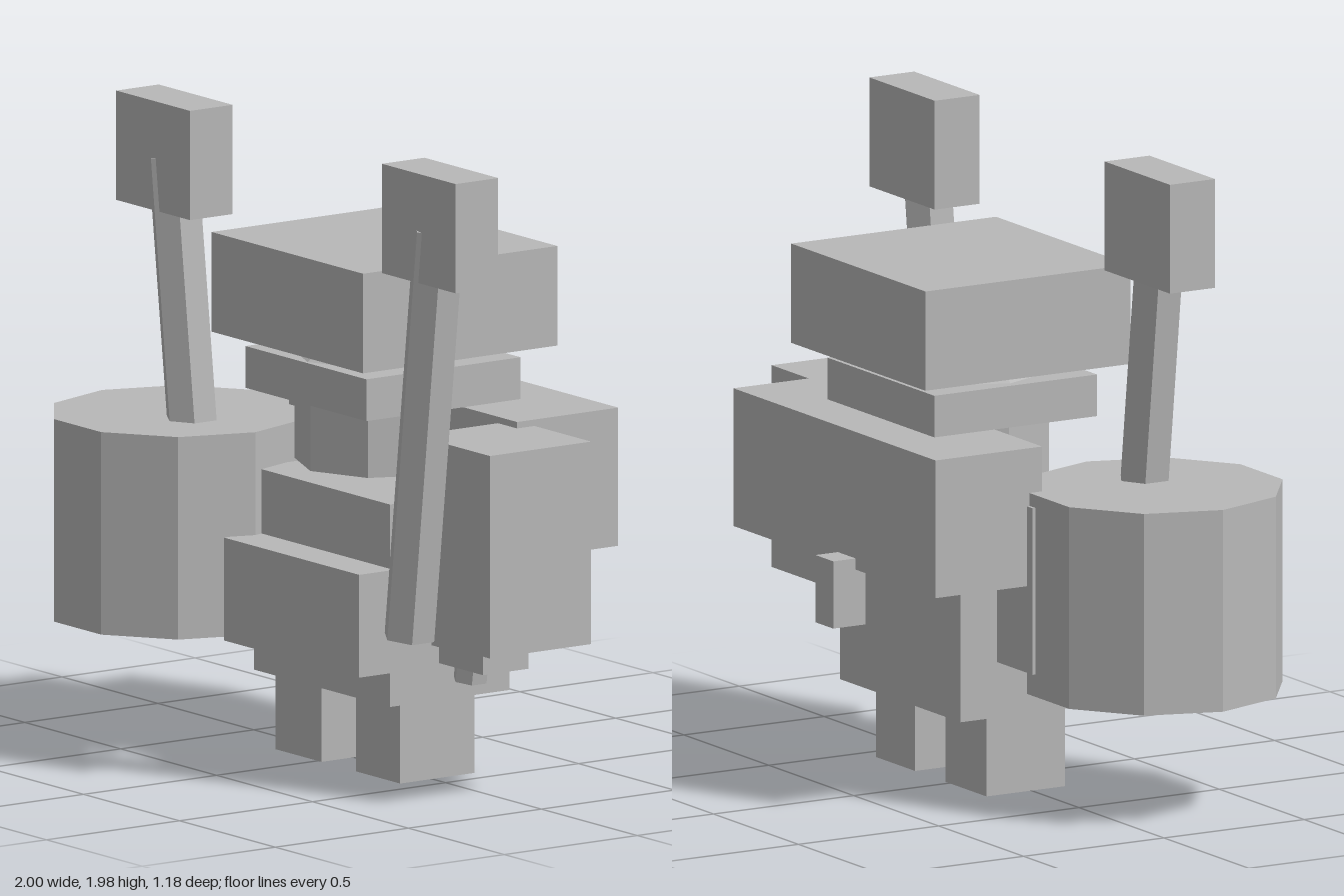
import * as THREE from 'three';

export function createModel() {
  const model = new THREE.Group();
  const grey = new THREE.MeshStandardMaterial({ color: 0xb8b8b8, flatShading: true });
  grey.name = 'grey';

  const add = (name, geometry) => {
    const mesh = new THREE.Mesh(geometry, grey);
    mesh.name = name;
    model.add(mesh);
    return mesh;
  };
  // Box given by its limits on each axis
  const box = (name, [x0, x1], [y0, y1], [z0, z1]) =>
    add(name, new THREE.BoxGeometry(x1 - x0, y1 - y0, z1 - z0))
      .position.set((x0 + x1) / 2, (y0 + y1) / 2, (z0 + z1) / 2);
  // Prism between two points
  const rod = (name, a, b, radius, sides, topRadius = radius) => {
    const from = new THREE.Vector3(...a), to = new THREE.Vector3(...b);
    const dir = to.clone().sub(from);
    const mesh = add(name, new THREE.CylinderGeometry(topRadius, radius, dir.length(), sides));
    mesh.position.copy(from).add(to).multiplyScalar(0.5);
    mesh.quaternion.setFromUnitVectors(new THREE.Vector3(0, 1, 0), dir.normalize());
    return mesh;
  };

  // Body
  box('rightLeg', [-0.22, 0.02], [0, 0.25], [-0.16, 0.12]);
  box('leftLeg', [0.2, 0.43], [0, 0.25], [-0.16, 0.12]);
  box('torso', [-0.25, 0.46], [0.25, 0.88], [-0.27, 0.18]);
  box('bellyPlate', [-0.225, 0.48], [0.36, 0.68], [0.17, 0.31]);
  box('backShell', [-0.49, 0.7], [0.71, 1.14], [-0.505, -0.125]);
  box('tail', [-0.02, 0.085], [0.535, 0.745], [-0.585, -0.47]);

  // Head
  rod('neck', [0.1, 0.93, -0.05], [0.1, 1.16, -0.05], 0.27, 8);
  box('brow', [-0.21, 0.42], [1.14, 1.27], [-0.34, 0.24]);
  rod('crown', [0.1, 1.27, -0.05], [0.1, 1.32, -0.05], 0.28, 8, 0.21);
  box('hat', [-0.29, 0.5], [1.31, 1.62], [-0.42, 0.31]);

  // Arms
  box('rightArm', [-0.525, -0.315], [0.44, 0.96], [-0.18, 0.07]);
  box('leftArm', [0.525, 0.735], [0.44, 0.96], [-0.18, 0.07]);

  // Square guard on the left arm, with grip and stub below
  box('guard', [0.6, 0.995], [0.49, 1.12], [-0.19, 0.19]);
  box('grip', [0.66, 0.89], [0.415, 0.5], [-0.03, 0.14]);
  rod('gripStub', [0.705, 0.36, 0.055], [0.715, 0.43, 0.055], 0.055, 6);

  // Drum on the right arm, turned so that a corner points sideways
  rod('drum', [-0.6, 0.37, 0.21], [-0.6, 1, 0.21], 0.4, 10).rotateY(Math.PI / 10);

  // Mallets
  rod('rightMalletHandle', [-0.43, 0.505, 0.24], [-0.588, 1.8, 0.24], 0.083, 6);
  box('rightMalletHead', [-0.78, -0.395], [1.64, 1.98], [0.155, 0.315]);
  rod('leftMalletHandle', [0.645, 0.505, 0.24], [0.8, 1.8, 0.24], 0.083, 6);
  box('leftMalletHead', [0.605, 0.99], [1.64, 1.98], [0.155, 0.315]);

  return model;
}
